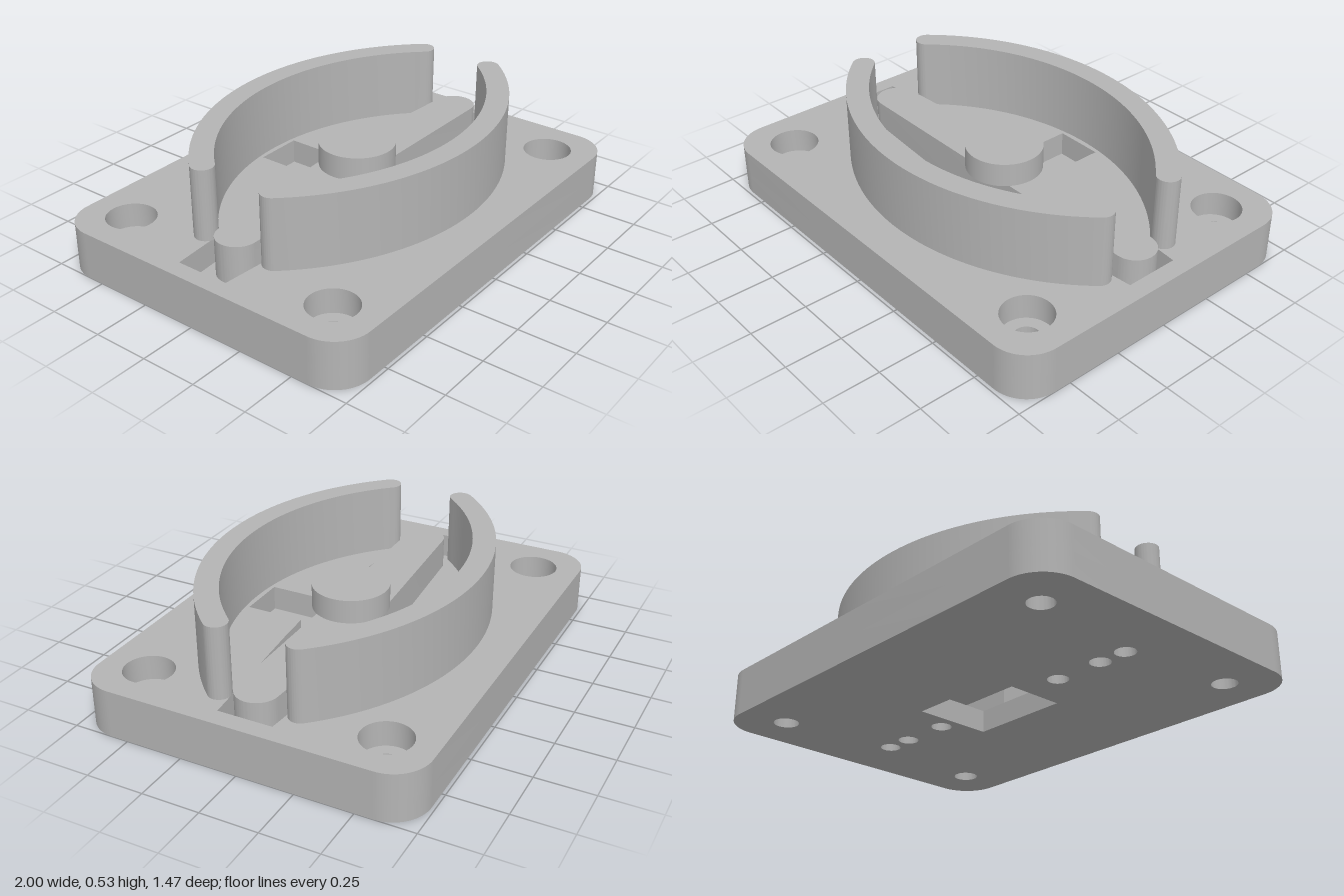
import * as THREE from 'three';
import { toCreasedNormals } from 'three/addons/utils/BufferGeometryUtils.js';

const CX = 0.05; // centre of the lever mechanism along x
const FLOOR = 0.1; // height of the recess floor
const TOP = 0.21; // top of the base plate

// Extrude a plan shape (x, -z) upward from y0 to y1
function slab(shape, y0, y1) {
  const geo = new THREE.ExtrudeGeometry(shape, { depth: y1 - y0, bevelEnabled: false, curveSegments: 24 });
  geo.rotateX(-Math.PI / 2);
  geo.translate(0, y0, 0);
  return toCreasedNormals(geo, 0.5);
}

function circle(x, y, r) {
  const p = new THREE.Path();
  p.absarc(x, y, r, 0, Math.PI * 2, true);
  return p;
}

function polygon(points) {
  return new THREE.Path(points.map(([x, y]) => new THREE.Vector2(x, y)));
}

function roundedPlate(w, d, r) {
  const s = new THREE.Shape();
  s.absarc(w - r, d - r, r, 0, Math.PI / 2);
  s.absarc(-w + r, d - r, r, Math.PI / 2, Math.PI);
  s.absarc(-w + r, -d + r, r, Math.PI, Math.PI * 1.5);
  s.absarc(w - r, -d + r, r, Math.PI * 1.5, Math.PI * 2);
  s.closePath();
  return s;
}

export function createModel() {
  const group = new THREE.Group();
  const grey = new THREE.MeshStandardMaterial({ color: 0xb4b4b4 });
  grey.name = 'plain grey';

  const add = (name, geo, parent = group) => {
    const mesh = new THREE.Mesh(geo, grey);
    mesh.name = name;
    parent.add(mesh);
    return mesh;
  };

  // Base plate: lower layer with through holes, upper layer with recesses
  const base = new THREE.Group();
  base.name = 'basePlate';
  group.add(base);
  const lower = roundedPlate(1, 0.735, 0.16);
  const upper = roundedPlate(1, 0.735, 0.16);
  for (const x of [-0.79, 0.79]) {
    for (const y of [-0.527, 0.527]) {
      lower.holes.push(circle(x, y, 0.055));
      upper.holes.push(circle(x, y, 0.107));
    }
  }
  for (const x of [0.36, 0.59, 0.72]) {
    lower.holes.push(circle(x, 0, 0.045), circle(-x, 0, 0.045));
  }
  lower.holes.push(polygon([[-0.18, -0.177], [-0.18, 0.18], [0.28, 0.18], [0.28, -0.177]]));

  // Tapered lever slot with a square pocket on each side
  const side = [[-0.925, 0.12], [-0.18, 0.18], [-0.06, 0.188], [-0.06, 0.448],
    [0.155, 0.448], [0.155, 0.188], [0.28, 0.18], [0.92, 0.12]];
  const mirrored = side.map(([x, y]) => [x, -y]).reverse();
  upper.holes.push(polygon([...side, ...mirrored]));
  add('lowerPlate', slab(lower, 0, FLOOR), base);
  add('upperPlate', slab(upper, FLOOR, TOP), base);

  // Lever: widest in the middle, rounded tips
  const lever = new THREE.Shape();
  const tip = 0.77, r = 0.092;
  lever.moveTo(CX, -0.143);
  lever.absarc(CX + tip, 0, r, -Math.PI / 2 + 0.06, Math.PI / 2 - 0.06);
  lever.lineTo(CX, 0.143);
  lever.absarc(CX - tip, 0, r, Math.PI / 2 + 0.06, Math.PI * 1.5 - 0.06);
  lever.closePath();
  add('lever', slab(lever, FLOOR + 0.01, 0.28));

  // Round boss on the lever
  const boss = new THREE.CylinderGeometry(0.167, 0.167, 0.105, 48);
  boss.translate(CX, 0.3325, 0);
  add('leverBoss', boss);

  // Curved guard walls with rounded ends, one at the front and one at the back
  const mid = 1.016, half = 0.05, cy = -0.495, spread = 0.845;
  const a0 = Math.PI / 2 - spread, a1 = Math.PI / 2 + spread;
  for (const [name, turn] of [['backWall', 0], ['frontWall', Math.PI]]) {
    const wall = new THREE.Shape();
    wall.absarc(0, cy, mid + half, a0, a1);
    wall.absarc(mid * Math.cos(a1), cy + mid * Math.sin(a1), half, a1, a1 + Math.PI);
    wall.absarc(0, cy, mid - half, a1, a0, true);
    wall.absarc(mid * Math.cos(a0), cy + mid * Math.sin(a0), half, a0 + Math.PI, a0 + Math.PI * 2);
    const mesh = add(name, slab(wall, TOP, 0.527));
    mesh.position.x = CX;
    mesh.rotation.y = turn;
  }
  return group;
}
